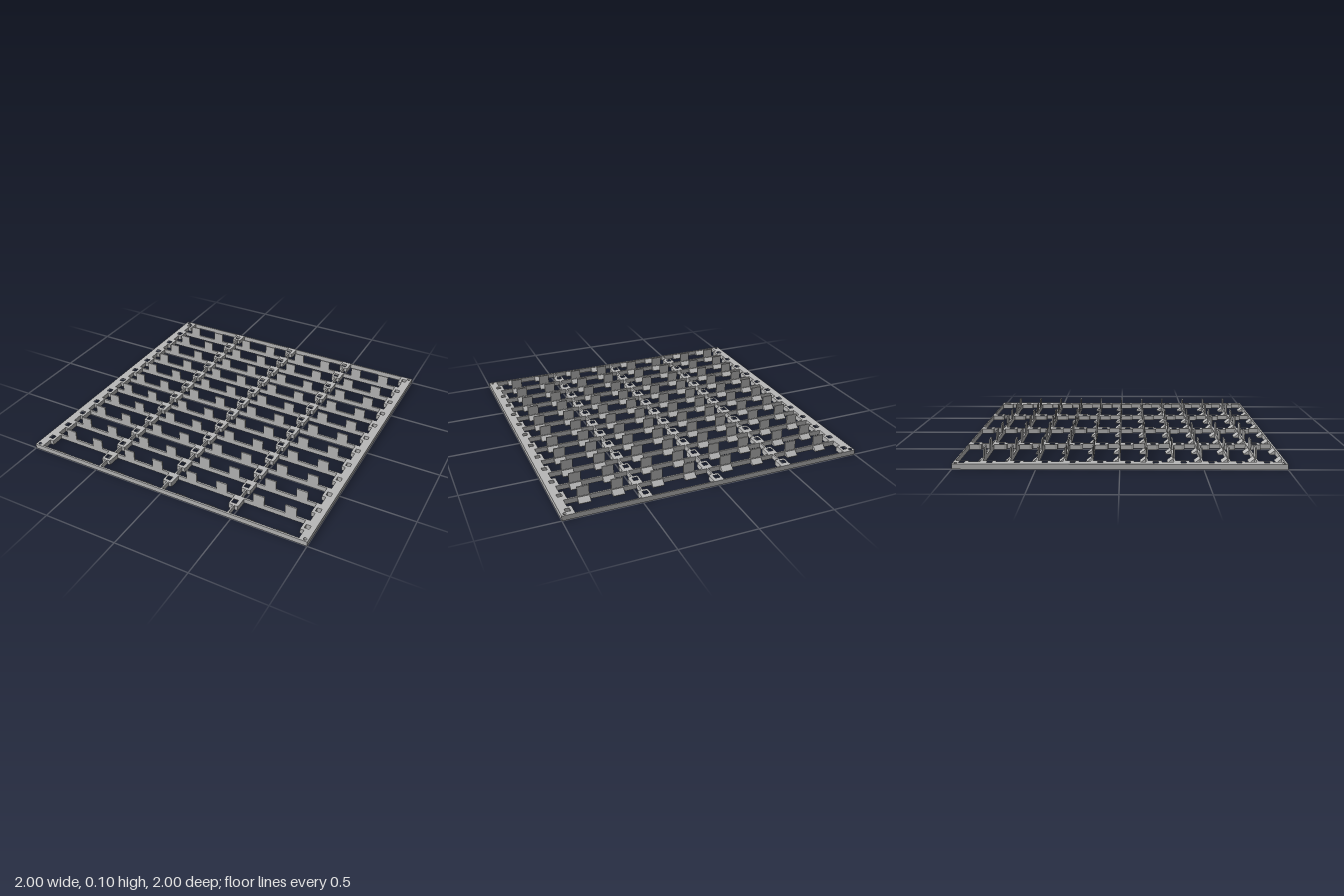
import * as THREE from 'three';

export function createModel() {
  const model = new THREE.Group();
  const grey = new THREE.MeshStandardMaterial({ color: 0xb8b8b8 });
  grey.name = 'grey plastic';

  const H = 0.033;        // frame height
  const ROWS = 12;
  const PITCH = 0.1664;
  const rowStart = (k) => -1 + k * PITCH;
  const railZ = (k) => -0.835 + k * PITCH;

  const add = (name, geometry, x = 0, y = 0, z = 0) => {
    const mesh = new THREE.Mesh(geometry, grey);
    mesh.name = name;
    mesh.position.set(x, y, z);
    model.add(mesh);
  };
  const box = (name, w, h, d, x, y, z) => add(name, new THREE.BoxGeometry(w, h, d), x, y, z);

  // Plan outline given as [x, z] points, raised to the frame height
  const slab = (points, holes) => {
    const shape = new THREE.Shape(points.map(([x, z]) => new THREE.Vector2(x, -z)));
    shape.holes = holes;
    const g = new THREE.ExtrudeGeometry(shape, { depth: H, bevelEnabled: false });
    return g.rotateX(-Math.PI / 2);
  };
  const squareHole = (x, z, r = 0.016) => new THREE.Path(
    [[-r, -r], [-r, r], [r, r], [r, -r]].map(([a, b]) => new THREE.Vector2(x + a, -z + b)));
  const roundHole = (x, z) => new THREE.Path().absarc(x, -z, 0.01, 0, Math.PI * 2, true);

  // Toothed side rails with square sockets and corner screw holes
  for (const s of [-1, 1]) {
    const outline = [[s, 1], [s, -1]];
    const holes = [roundHole(s * 0.978, -0.98), roundHole(s * 0.978, 0.98)];
    for (let k = 0; k < ROWS; k++) {
      const z0 = rowStart(k) + (k ? 0.001 : 0), z1 = rowStart(k) + 0.088;
      if (k) outline.push([s * 0.943, z0]);
      outline.push([s * 0.917, z0], [s * 0.917, z1], [s * 0.943, z1]);
      holes.push(squareHole(s * 0.951, rowStart(k) + 0.051));
    }
    outline.push([s * 0.943, 1]);
    add('sideRail', slab(outline, holes));
  }

  // Cross rails, one behind each row plus the thin back edge
  box('backEdge', 1.9, H, 0.008, 0, H / 2, -0.996);
  for (let k = 0; k < ROWS; k++) {
    box('crossRail', 1.89, H, 0.012, 0, H / 2, Math.min(railZ(k), 0.994));
  }

  // Socket blocks and thin dividers along the three inner columns
  for (const cx of [-0.475, 0, 0.475]) {
    for (let k = 0; k < ROWS; k++) {
      const z = rowStart(k), x = cx - 0.003;
      const block = [[x - 0.035, z + 0.002], [x + 0.033, z + 0.002], [x + 0.033, z + 0.07],
        [x + 0.029, z + 0.088], [x - 0.031, z + 0.088], [x - 0.035, z + 0.07]];
      add('socketBlock', slab(block, [squareHole(cx - 0.009, z + 0.051)]));
      const z0 = z + 0.088, z1 = railZ(k);
      box('divider', 0.01, H, z1 - z0, cx, H / 2, (z0 + z1) / 2);
    }
  }

  // Upright tabs with a sloped foot behind each one
  const TAB = 0.076;
  const footProfile = new THREE.Shape([[0, 0], [0.036, 0], [0.036, 0.004], [0, H - 0.001]]
    .map(([x, y]) => new THREE.Vector2(x, y)));
  const foot = new THREE.ExtrudeGeometry(footProfile, { depth: TAB, bevelEnabled: false });
  foot.translate(0, 0, -TAB / 2).rotateY(Math.PI / 2);
  const tab = new THREE.BoxGeometry(TAB, 0.098 - H, 0.009);
  for (let k = 0; k < ROWS; k++) {
    for (const x of [0.128, 0.346, 0.604, 0.819]) {
      for (const s of [-1, 1]) {
        const z = Math.min(railZ(k), 0.994);
        add('tabFoot', foot, s * x, 0, z - 0.003);
        if (k < ROWS - 1) add('tab', tab, s * x, (0.098 + H) / 2, z + 0.002);
      }
    }
  }
  return model;
}
